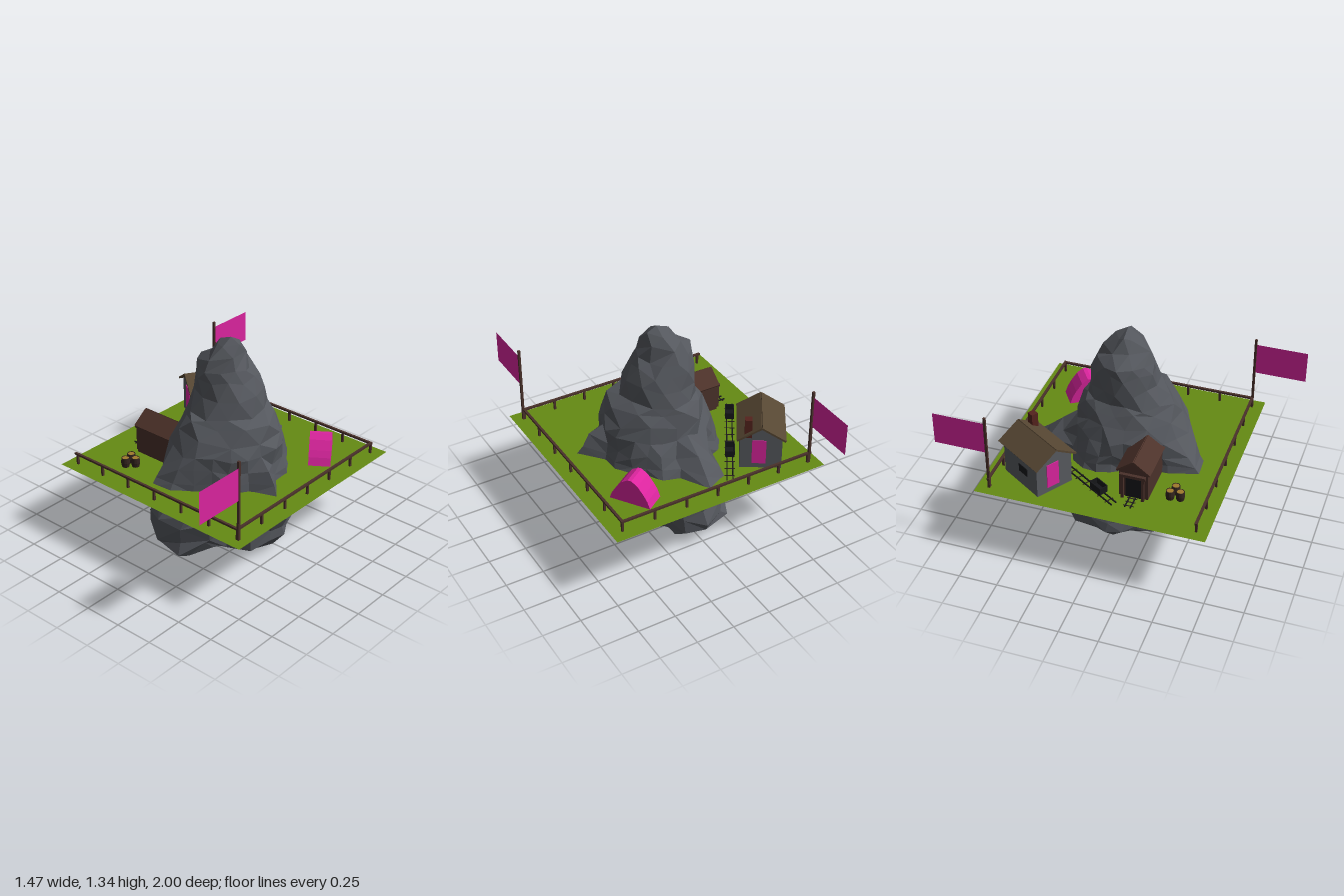
import * as THREE from 'three';

const GROUND = 0.485;
const WOOD = 0x4a312a, ROCK = 0x54575d, PINK = 0xdc259f, BLACK = 0x17181b;

function mat(color, thin = false) {
  return new THREE.MeshStandardMaterial({ color, flatShading: true, side: thin ? THREE.DoubleSide : THREE.FrontSide });
}
function add(parent, name, geo, color, x = 0, y = 0, z = 0, thin = false) {
  const m = new THREE.Mesh(geo, mat(color, thin));
  m.name = name;
  m.position.set(x, y, z);
  parent.add(m);
  return m;
}
const box = (parent, name, w, h, d, x, y, z, color) =>
  add(parent, name, new THREE.BoxGeometry(w, h, d), color, x, y, z);

function group(parent, name, x, z, turn = 0) {
  const g = new THREE.Group();
  g.name = name;
  g.position.set(x, GROUND + 0.002, z);
  g.rotation.y = turn;
  parent.add(g);
  return g;
}

// Small seeded generator for the rock facets
function seeded(seed) {
  return () => {
    seed = (seed * 1664525 + 1013904223) % 4294967296;
    return seed / 4294967296 - 0.5;
  };
}

// Outlines every 15 degrees, from +x towards +z
const BELLY = [.55, .55, .52, .49, .51, .58, .66, .53, .46, .43, .43, .45, .45, .45, .45, .44, .47, .54, .57, .53, .47, .44, .46, .52];
const FOOT = [.41, .55, .42, .42, .41, .44, .51, .54, .38, .25, .24, .26, .29, .33, .35, .36, .34, .53, .58, .41, .42, .38, .4, .42];
// Upper levels: y, extents at -x, +x, -z, +z
const PEAK = [
  [0.69, .29, .4, .31, .41], [0.78, .25, .38, .29, .36], [0.86, .21, .355, .265, .3], [0.91, .19, .28, .24, .27],
  [1.01, .19, .26, .22, .2], [1.1, .19, .2, .2, .19], [1.17, .185, .165, .175, .175],
  [1.25, .1, .13, .14, .15], [1.31, .03, .1, .08, .08],
];

function rockGeometry() {
  const n = 24, rnd = seeded(11);
  const gully = BELLY.map(() => rnd() * 0.07);
  const ellipse = (e, t) => {
    const c = Math.cos(t), s = Math.sin(t);
    return 1 / Math.hypot(c / (c < 0 ? e[1] : e[2]), s / (s < 0 ? e[3] : e[4]));
  };
  const belly = k => j => (BELLY[j] + gully[j]) * k;
  const blend = k => (j, t) => FOOT[j] * (1 - k) + ellipse(PEAK[0], t) * k;
  // Levels: y, radius rule, noise, shift in x and z, sectors merged into one facet
  const levels = [
    [0.06, belly(0.25), 0.06, 0, 0, 4], [0.05, belly(0.52), 0.08, 0, 0.03, 2], [0.045, belly(0.8), 0.06, 0, 0.04, 1],
    [0.12, belly(0.95), 0.05, -0.02, 0.01, 1], [0.21, belly(0.97), 0.05, -0.01, 0.02, 1],
    [0.3, belly(0.98), 0.05, 0.02, 0.02, 1], [0.385, belly(0.96), 0.04, 0.03, 0, 1],
    [0.475, j => FOOT[j] * 1.02, 0.01, 0, 0, 1], [0.53, blend(0.2), 0.02, 0, 0, 1], [0.6, blend(0.6), 0.04, 0, 0, 1],
    ...PEAK.map((e, i) => [e[0], (j, t) => ellipse(e, t), 0.035, 0, 0, i === 0 ? 1 : i < 7 ? 2 : 4]),
  ];
  const rings = [Array.from({ length: n }, () => [0, 0.06, 0])];
  levels.forEach(([y, r, noise, dx, dz, merge], i) => {
    const ring = [];
    for (let j = 0; j < n; j++) {
      const t = (j + rnd() * noise * 8) / n * Math.PI * 2;
      const q = r(j, t) + rnd() * noise;
      ring.push([Math.cos(t) * q + dx, y + rnd() * noise * 1.3, Math.sin(t) * q + dz]);
    }
    const offset = i % 2 * (merge >> 1);
    rings.push(ring.map((_, j) => ring[(Math.floor((j + offset) / merge) * merge - offset + n) % n]));
  });
  rings.push(Array.from({ length: n }, () => [0.045, 1.352, 0]));
  const pos = [];
  for (let i = 0; i + 1 < rings.length; i++) {
    for (let j = 0; j < n; j++) {
      const k = (j + 1) % n;
      const a = rings[i][j], b = rings[i][k], c = rings[i + 1][j], d = rings[i + 1][k];
      const tris = rnd() > 0 ? [[a, c, b], [b, c, d]] : [[a, c, d], [a, d, b]];
      // Merged corners leave empty triangles, which are skipped
      for (const tri of tris) if (new Set(tri.map(String)).size === 3) pos.push(...tri.flat());
    }
  }
  const geo = new THREE.BufferGeometry();
  geo.setAttribute('position', new THREE.Float32BufferAttribute(pos, 3));
  geo.computeVertexNormals();
  return geo;
}

// Prism with its outline in local x and y, running along local z
function prism(points, length) {
  const s = new THREE.Shape(points.map(p => new THREE.Vector2(...p)));
  return new THREE.ExtrudeGeometry(s, { depth: length, bevelEnabled: false }).translate(0, 0, -length / 2);
}
const gable = (w, eave, peak, length) =>
  prism([[-w / 2, 0], [w / 2, 0], [w / 2, eave], [0, peak], [-w / 2, eave]], length);
function gableRoof(parent, w, eave, peak, length, color) {
  for (const side of [-1, 1]) {
    const slab = box(parent, 'roofSlope', Math.hypot(w / 2, peak - eave), 0.012, length, side * w / 4, (eave + peak) / 2, 0, color);
    slab.rotation.z = -side * Math.atan2(peak - eave, w / 2);
  }
}

// Railway running along local z with evenly spaced sleepers
function track(parent, name, x, z, turn, length, ties) {
  const g = group(parent, name, x, z, turn);
  for (const s of [-1, 1]) box(g, 'rail', 0.007, 0.012, length, s * 0.018, 0, 0, BLACK);
  for (let i = 0; i < ties; i++)
    box(g, 'sleeper', 0.065, 0.007, 0.008, 0, -0.004, ((i + 0.5) / ties - 0.5) * length * 0.97, 0x2c211b);
  return g;
}

export function createModel() {
  const model = new THREE.Group();
  model.name = 'mountainCamp';

  add(model, 'ground', new THREE.PlaneGeometry(1.47, 1.47).rotateX(-Math.PI / 2), 0x658b14, 0, GROUND, 0, true);
  add(model, 'mountain', rockGeometry(), ROCK);

  // Fence on three sides
  const E = 0.66, fence = new THREE.Group();
  fence.name = 'fence';
  model.add(fence);
  for (const s of [-1, 1]) box(fence, 'fenceRail', 1.35, 0.013, 0.016, -0.005, 0.555, s * E, WOOD);
  box(fence, 'fenceRail', 0.016, 0.013, 2 * E, E, 0.555, 0, WOOD);
  for (let i = 0; i < 7; i++) {
    const p = -E + i * E / 3;
    const spots = [[p, -E], [p, E]];
    if (i > 0 && i < 6) spots.push([E, p]);
    for (const [x, z] of spots) box(fence, 'fencePost', 0.014, 0.08, 0.014, x, 0.515, z, WOOD);
  }

  // Flags on opposite corners
  for (const s of [-1, 1]) {
    box(model, 'flagPole', 0.015, 0.535, 0.015, s * 0.668, 0.743, s * E, WOOD);
    add(model, 'flag', new THREE.PlaneGeometry(0.335, 0.215).rotateY(Math.PI / 2), PINK, s * 0.672, 0.862, s * 0.8325, true);
  }

  // House with a banner door at both ends
  const house = group(model, 'house', -0.465, -0.415, -0.57);
  add(house, 'houseWalls', gable(0.26, 0.22, 0.3, 0.34), 0x585b60);
  gableRoof(house, 0.3, 0.218, 0.312, 0.395, 0x574733);
  box(house, 'chimney', 0.045, 0.13, 0.045, 0.082, 0.29, -0.152, 0x55231d);
  for (const s of [-1, 1]) {
    box(house, 'door', 0.088, 0.17, 0.006, -s * 0.012, 0.12, s * 0.172, PINK);
    box(house, 'window', 0.006, 0.055, 0.085, s * 0.131, 0.125, 0.03, BLACK);
  }

  // Mine shed with a timber-framed entrance
  const mine = group(model, 'mineShed', -0.33, 0.21, -Math.PI / 2);
  add(mine, 'mineWalls', gable(0.185, 0.2, 0.262, 0.3), WOOD);
  gableRoof(mine, 0.21, 0.19, 0.27, 0.32, 0x4d322a);
  box(mine, 'mineOpening', 0.1, 0.15, 0.004, 0, 0.075, 0.152, BLACK);
  for (const s of [-1, 1]) box(mine, 'entrancePost', 0.018, 0.165, 0.018, s * 0.065, 0.0825, 0.168, WOOD);
  box(mine, 'entranceBeam', 0.165, 0.02, 0.022, 0, 0.172, 0.168, WOOD);
  track(model, 'mineTrack', -0.53, 0.207, Math.PI / 2, 0.11, 3);

  // Long track with two wagons
  const line = track(model, 'longTrack', -0.36, -0.228, Math.atan2(-0.44, 0.695), 0.82, 11);
  for (const z of [-0.15, 0.263]) {
    const cart = new THREE.Group();
    cart.name = 'mineCart';
    cart.position.z = z;
    line.add(cart);
    box(cart, 'cartFloor', 0.05, 0.008, 0.095, 0, 0.024, 0, BLACK);
    for (const s of [-1, 1]) {
      box(cart, 'cartSide', 0.006, 0.045, 0.1, s * 0.027, 0.045, 0, BLACK);
      box(cart, 'cartEnd', 0.054, 0.045, 0.006, 0, 0.045, s * 0.05, BLACK);
      for (const e of [-1, 1])
        add(cart, 'cartWheel', new THREE.CylinderGeometry(0.012, 0.012, 0.006, 10).rotateZ(Math.PI / 2), BLACK, s * 0.02, 0.016, e * 0.03);
    }
  }

  // Barrels
  for (const [x, z] of [[-0.42, 0.425], [-0.363, 0.445], [-0.41, 0.487]]) {
    const barrel = group(model, 'barrel', x, z);
    const profile = [[0, 0], [0.024, 0], [0.029, 0.03], [0.026, 0.062], [0.022, 0.062], [0.022, 0.055]].map(p => new THREE.Vector2(...p));
    add(barrel, 'barrelBody', new THREE.LatheGeometry(profile, 12), 0x33251e);
    add(barrel, 'barrelLid', new THREE.CylinderGeometry(0.0225, 0.0225, 0.004, 12), 0xa07a2c, 0, 0.057, 0);
  }

  // Arched tent
  const tent = group(model, 'tent', 0.441, -0.42, Math.atan2(-0.83, 0.56));
  const half = [[.136, 0], [.117, .05], [.093, .09], [.053, .143], [.012, .17]];
  const arch = [...half, ...half.map(([u, y]) => [-u, y]).reverse()];
  add(tent, 'tentBody', prism(arch, 0.14), PINK);

  return model;
}
